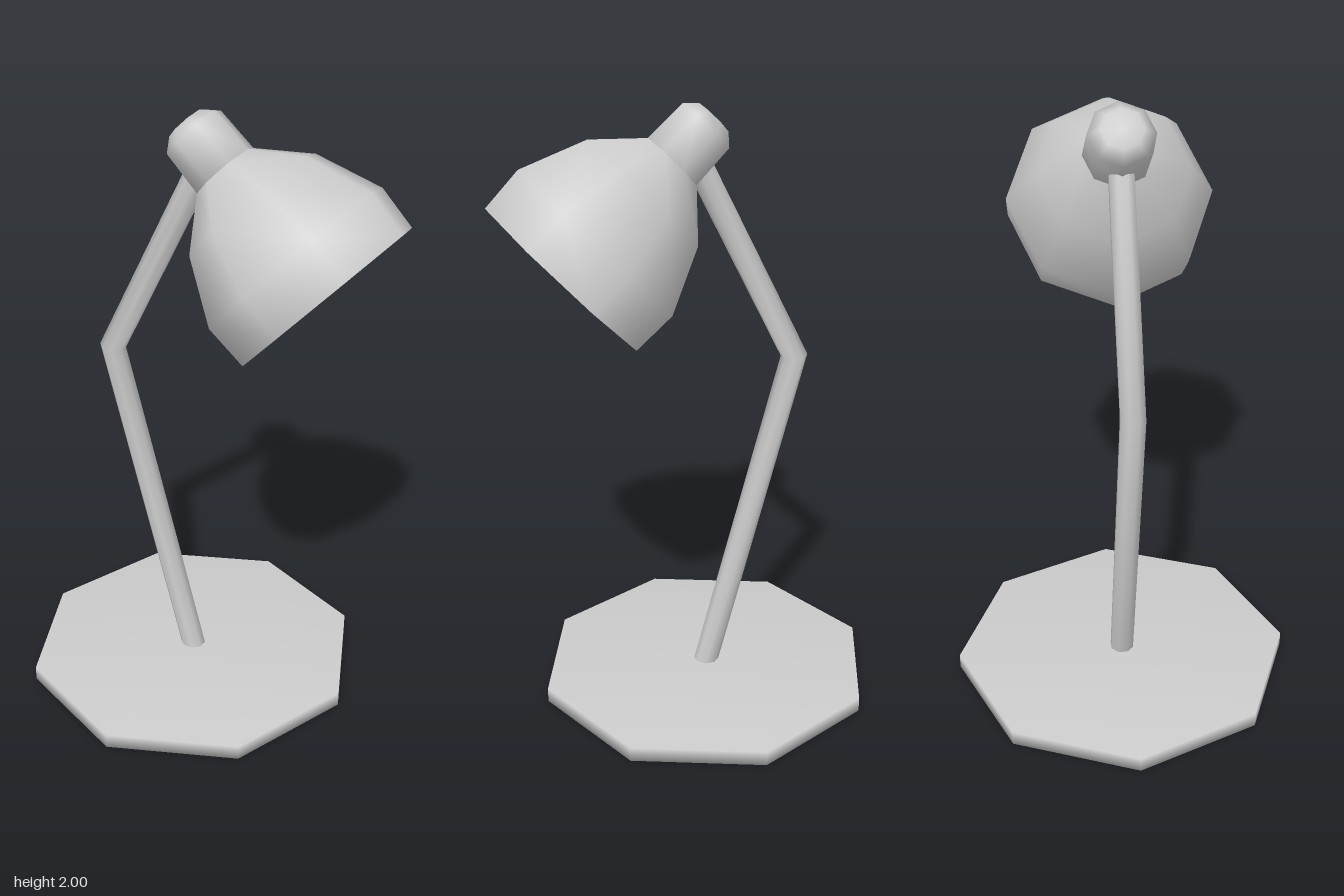
import * as THREE from 'three';
import { mergeVertices } from 'three/addons/utils/BufferGeometryUtils.js';

const SIDES = 8;
const material = new THREE.MeshStandardMaterial({ color: 0xcccccc, side: THREE.DoubleSide });

// Weld coincident corners so the shading flows over every edge.
function smooth(geometry) {
  geometry.deleteAttribute('normal');
  geometry.deleteAttribute('uv');
  const welded = mergeVertices(geometry, 1e-4);
  welded.computeVertexNormals();
  return welded;
}

function part(name, geometry) {
  const mesh = new THREE.Mesh(smooth(geometry), material);
  mesh.name = name;
  return mesh;
}

// Turned part from [radius, height] pairs.
function turned(name, profile) {
  const points = profile.map(([r, y]) => new THREE.Vector2(r, y));
  return part(name, new THREE.LatheGeometry(points, SIDES));
}

// Bent rod: each row of a cylinder is moved to a path point and mitred there.
function bentRod(name, path, radius) {
  const last = path.length - 1;
  const g = new THREE.CylinderGeometry(radius, radius, 1, SIDES, last, true, Math.PI / SIDES);
  const pos = g.attributes.position;
  const dirs = path.slice(1).map((p, i) => p.clone().sub(path[i]).normalize());
  for (let i = 0; i < pos.count; i++) {
    const row = Math.round((pos.getY(i) + 0.5) * last);
    const before = dirs[Math.max(row - 1, 0)];
    const after = dirs[Math.min(row, last - 1)];
    const along = before.clone().add(after).normalize();
    const offset = pos.getX(i) / along.dot(after);
    pos.setXY(i, path[row].x + along.y * offset, path[row].y - along.x * offset);
  }
  return part(name, g);
}

export function createModel() {
  const lamp = new THREE.Group();
  lamp.name = 'deskLamp';

  // Octagonal foot plate
  const base = part('base', new THREE.CylinderGeometry(0.57, 0.57, 0.05, SIDES));
  base.position.set(-0.062, 0.025, 0);
  lamp.add(base);

  // Arm with one elbow
  const path = [[-0.06, 0.03], [-0.365, 1.155], [-0.01, 1.86]];
  lamp.add(bentRod('arm', path.map(([x, y]) => new THREE.Vector2(x, y)), 0.041));

  // Head: local y points out of the shade, origin at the rim centre
  const head = new THREE.Group();
  head.name = 'head';
  head.position.set(0.4025, 1.5025, 0);
  head.rotation.z = Math.atan2(-0.73, -0.684);

  // Socket cap behind the shade
  head.add(turned('socketCap', [
    [0, -0.658], [0.065, -0.658], [0.103, -0.623], [0.108, -0.475], [0, -0.465],
  ]));

  // Shade: outer wall down to the rim, then the inner wall back up
  head.add(turned('shade', [
    [0.1, -0.485], [0.242, -0.349], [0.333, -0.147], [0.326, 0],
    [0.312, 0], [0.25, -0.2], [0.205, -0.33], [0.08, -0.45],
  ]));

  // Bulb
  head.add(turned('bulb', [
    [0.045, -0.46], [0.05, -0.32], [0.115, -0.21], [0.12, -0.15], [0.06, -0.06], [0, -0.05],
  ]));

  lamp.add(head);
  return lamp;
}
